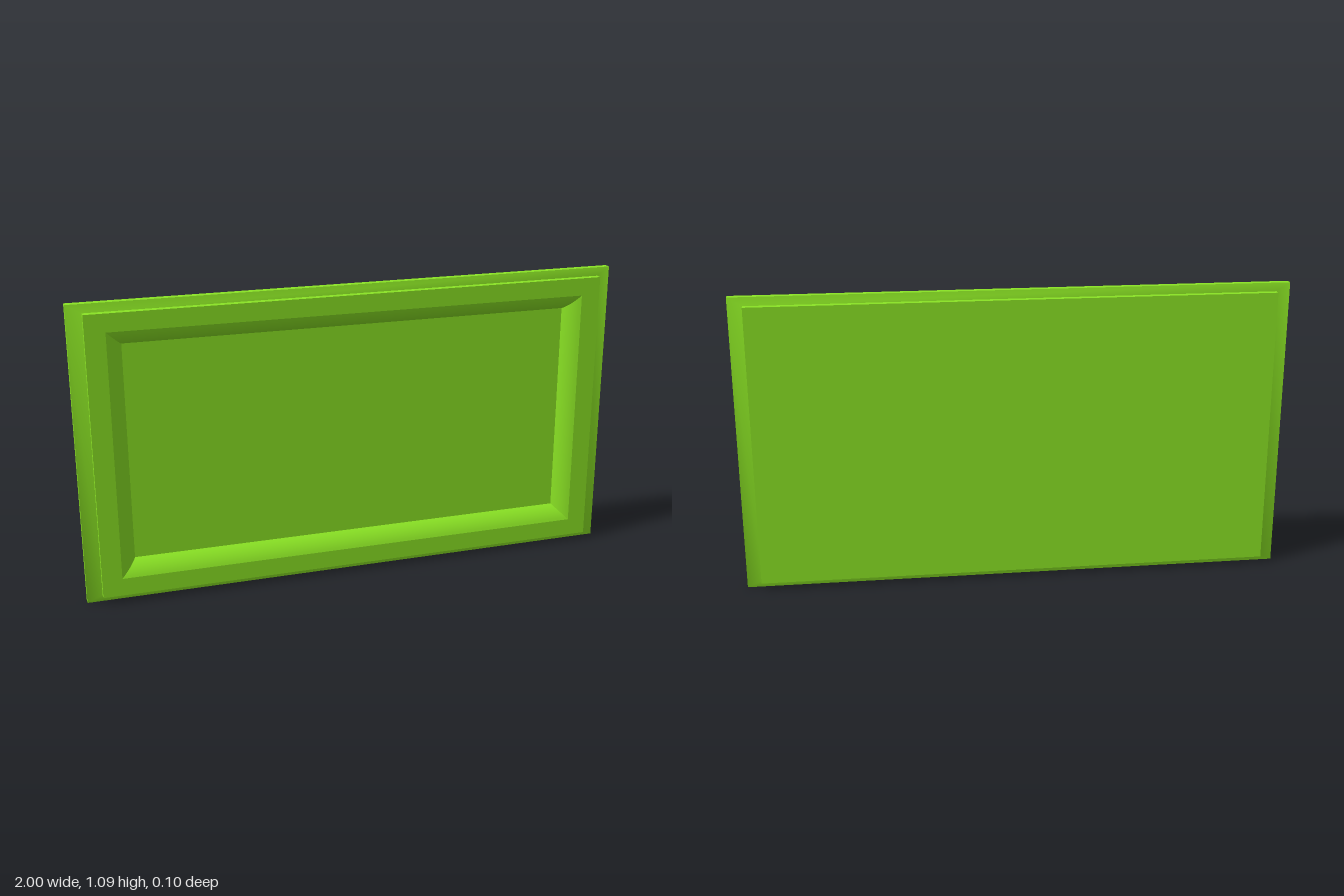
import * as THREE from 'three';
import { toCreasedNormals } from 'three/addons/utils/BufferGeometryUtils.js';

const MID_Y = 0.546;
const rad = THREE.MathUtils.degToRad;

// Skins a sequence of rectangles [halfWidth, halfHeight, z], from front centre outwards to the back.
function loftRectangles(loops, capped, creaseDegrees) {
  const positions = [];
  const index = [];
  for (const [w, h, z] of loops) {
    positions.push(-w, MID_Y - h, z, w, MID_Y - h, z, w, MID_Y + h, z, -w, MID_Y + h, z);
  }
  for (let i = 0; i < loops.length - 1; i++) {
    for (let k = 0; k < 4; k++) {
      const a = i * 4 + k;
      const b = i * 4 + (k + 1) % 4;
      index.push(a + 4, b + 4, b, a + 4, b, a);
    }
  }
  if (capped) {
    const e = (loops.length - 1) * 4;
    index.push(0, 1, 2, 0, 2, 3);
    index.push(e, e + 2, e + 1, e, e + 3, e + 2);
  }
  const geometry = new THREE.BufferGeometry();
  geometry.setAttribute('position', new THREE.Float32BufferAttribute(positions, 3));
  geometry.setIndex(index);
  return toCreasedNormals(geometry, rad(creaseDegrees));
}

export function createModel() {
  const group = new THREE.Group();
  group.name = 'framedPanel';
  const green = new THREE.MeshStandardMaterial({ color: 0x8ae324 });
  green.name = 'leafGreen';

  const add = (name, loops, capped, creaseDegrees) => {
    const mesh = new THREE.Mesh(loftRectangles(loops, capped, creaseDegrees), green);
    mesh.name = name;
    group.add(mesh);
  };

  // Slab: recessed floor, curved bevel easing from steep to shallow, straight sides and flat back
  const slab = [];
  const steps = 8;
  const steep = rad(68);
  const shallow = rad(22);
  for (let i = 0; i <= steps; i++) {
    const slope = THREE.MathUtils.lerp(steep, shallow, i / steps);
    const out = 0.055 * (Math.sin(steep) - Math.sin(slope)) / (Math.sin(steep) - Math.sin(shallow));
    const z = 0.05 * (Math.cos(slope) - Math.cos(steep)) / (Math.cos(shallow) - Math.cos(steep));
    slab.push([0.82 + out, 0.397 + out, z]);
  }
  slab.push([0.946, 0.517, 0.05], [0.946, 0.517, -0.05]);
  add('recessedSlab', slab, true, 18);

  // Flange: thin tapered border around the slab
  add('taperedFlange', [
    [0.946, 0.517, 0.025],
    [1, 0.546, 0.013],
    [1, 0.546, -0.013],
    [0.946, 0.517, -0.025],
  ], false, 30);

  return group;
}
